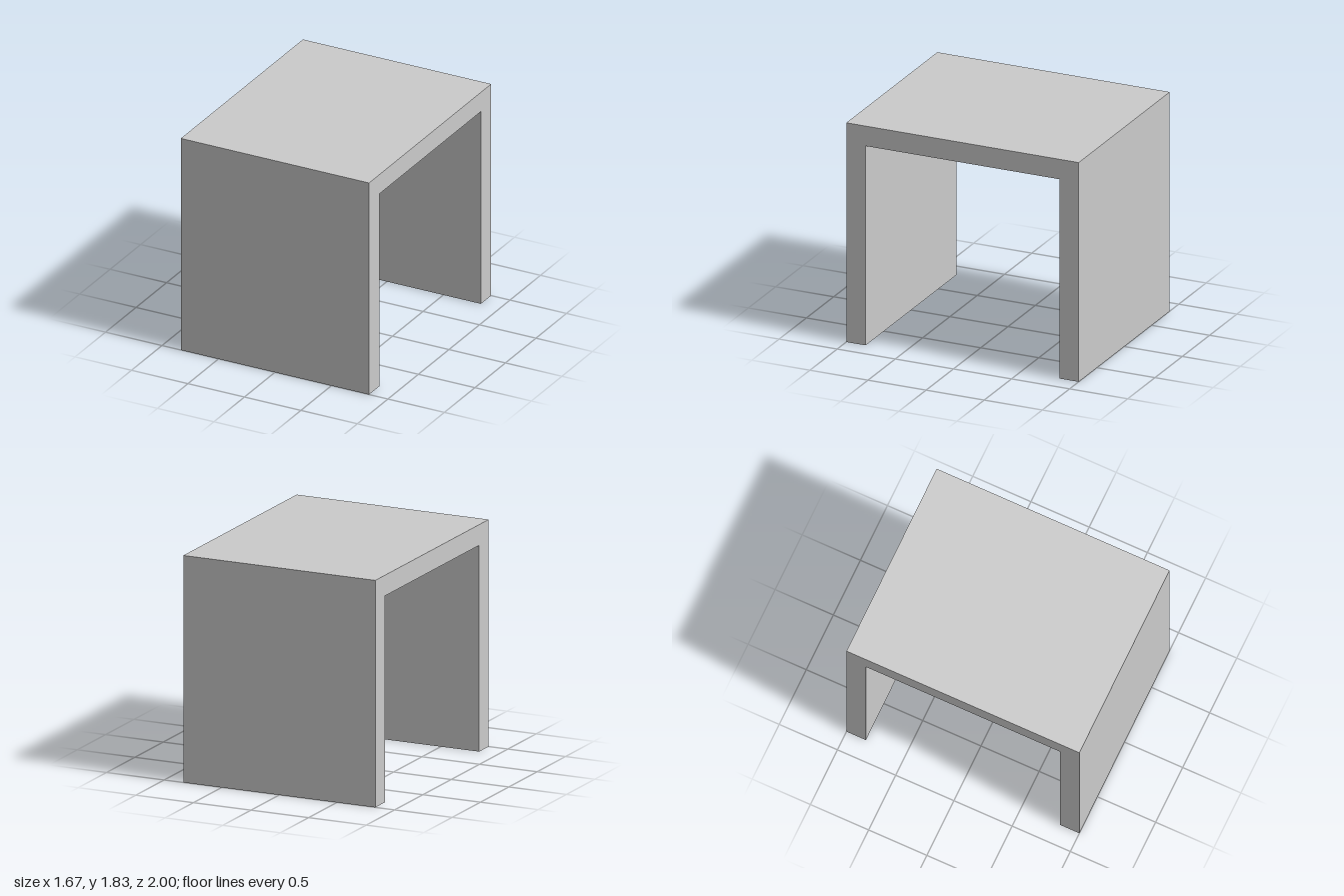
import * as THREE from 'three';

const WIDTH = 5 / 3, HEIGHT = 11 / 6, DEPTH = 2, THICKNESS = 1 / 6;

export function createModel() {
  const group = new THREE.Group();
  group.name = 'sideTable';

  // Upside-down U profile: two panel legs joined by the top
  const outer = DEPTH / 2, inner = outer - THICKNESS, under = HEIGHT - THICKNESS;
  const profile = new THREE.Shape([
    [-outer, 0], [-inner, 0], [-inner, under], [inner, under],
    [inner, 0], [outer, 0], [outer, HEIGHT], [-outer, HEIGHT],
  ].map(([x, y]) => new THREE.Vector2(x, y)));

  // Extrude across the width, then turn so the legs stand at front and back
  const geometry = new THREE.ExtrudeGeometry(profile, { depth: WIDTH, bevelEnabled: false });
  geometry.translate(0, 0, -WIDTH / 2).rotateY(Math.PI / 2);

  const frame = new THREE.Mesh(geometry, new THREE.MeshStandardMaterial({ color: 0xcccccc }));
  frame.name = 'tableTopAndLegs';
  group.add(frame);
  return group;
}
